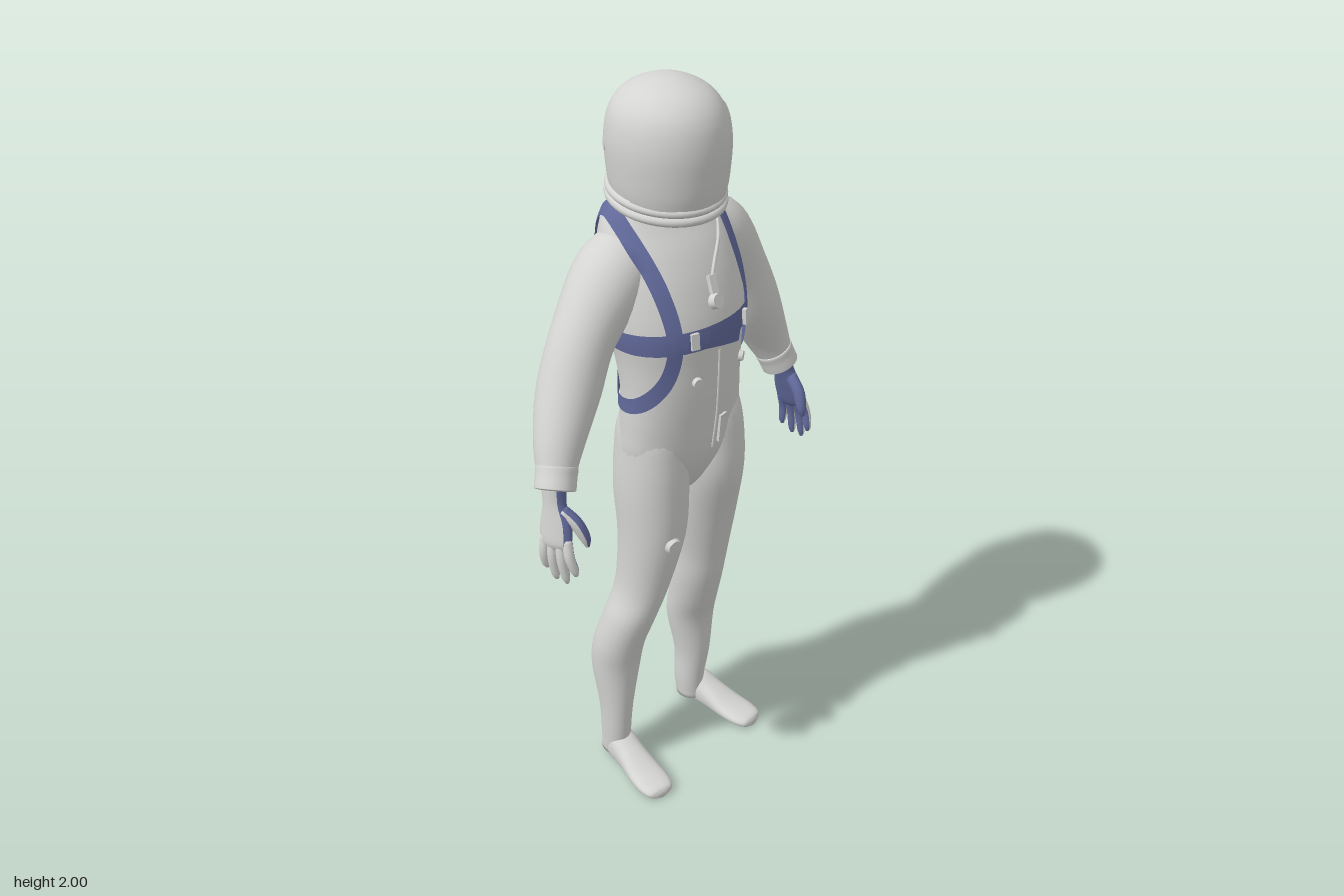
import * as THREE from 'three';

const V = (x, y, z) => new THREE.Vector3(x, y, z);
const UP = V(0, 1, 0);

// Smooth skin through sections [x, y, z, radiusU, radiusV]; split(angle) picks the second material.
function loft(sections, { t = null, ref = V(1, 0, 0), n = 28, p = 1, steps = 5, split = null } = {}) {
  const centre = new THREE.CatmullRomCurve3(sections.map(s => V(s[0], s[1], s[2])), false, 'catmullrom');
  const radii = new THREE.CatmullRomCurve3(sections.map(s => V(s[3], s[4] ?? s[3], 0)), false, 'catmullrom');
  const rows = (sections.length - 1) * steps;
  const pos = [], faces = [[], []];
  const pow = v => Math.sign(v) * Math.abs(v) ** p;
  for (let i = 0; i <= rows; i++) {
    const c = centre.getPoint(i / rows), r = radii.getPoint(i / rows);
    const tan = t || centre.getTangent(i / rows);
    const u = ref.clone().addScaledVector(tan, -ref.dot(tan)).normalize();
    const v = tan.clone().cross(u);
    for (let j = 0; j < n; j++) {
      const a = j / n * Math.PI * 2;
      const q = c.clone().addScaledVector(u, r.x * pow(Math.cos(a))).addScaledVector(v, r.y * pow(Math.sin(a)));
      pos.push(q.x, q.y, q.z);
    }
  }
  const first = sections[0], last = sections[sections.length - 1], base = (rows + 1) * n;
  pos.push(...first.slice(0, 3), ...last.slice(0, 3));
  for (let j = 0; j < n; j++) {
    const k = (j + 1) % n, f = faces[split && split((j + 0.5) / n * Math.PI * 2) ? 1 : 0];
    for (let i = 0; i < rows; i++) {
      const a = i * n + j, b = i * n + k;
      f.push(a, b, a + n, b, b + n, a + n);
    }
    f.push(base, k, j, base + 1, rows * n + j, rows * n + k);
  }
  const g = new THREE.BufferGeometry();
  g.setAttribute('position', new THREE.Float32BufferAttribute(pos, 3));
  g.setIndex([...faces[0], ...faces[1]]);
  if (split) {
    g.addGroup(0, faces[0].length, 0);
    g.addGroup(faces[0].length, faces[1].length, 1);
  }
  g.computeVertexNormals();
  return g;
}

export function createModel() {
  const root = new THREE.Group();
  root.name = 'spacesuitFigure';
  const suit = new THREE.MeshStandardMaterial({ color: 0xd4d4d2, side: THREE.DoubleSide });
  suit.name = 'suitGrey';
  const blue = new THREE.MeshStandardMaterial({ color: 0x626a9b, side: THREE.DoubleSide });
  blue.name = 'harnessBlue';
  const add = (name, geo, mat = suit, parent = root) => {
    const m = new THREE.Mesh(geo, mat);
    m.name = name;
    parent.add(m);
    return m;
  };

  // Torso, turned slightly towards its left
  const yaw = 0.27;
  const torso = add('torso', loft([
    [0, 0.9, 0, 0.03, 0.04], [0, 0.95, -0.005, 0.12, 0.078], [0, 1.03, -0.005, 0.182, 0.112],
    [-0.005, 1.12, 0.005, 0.181, 0.117], [-0.007, 1.22, 0.012, 0.176, 0.12], [-0.008, 1.31, 0.005, 0.182, 0.13],
    [-0.01, 1.4, -0.01, 0.196, 0.145], [-0.01, 1.5, -0.04, 0.2, 0.145], [-0.01, 1.58, -0.065, 0.19, 0.13],
    [-0.01, 1.64, -0.085, 0.175, 0.105], [-0.012, 1.68, -0.09, 0.148, 0.085], [-0.012, 1.71, -0.08, 0.1, 0.07],
    [-0.012, 1.73, -0.07, 0.05, 0.04],
  ], { t: UP, ref: V(Math.cos(yaw), 0, -Math.sin(yaw)), n: 40, p: 0.95 }));
  add('neck', new THREE.CylinderGeometry(0.11, 0.12, 0.08, 32)).position.set(-0.013, 1.7, -0.055);

  // Legs
  const rightLeg = add('rightLeg', loft([
    [-0.19, 0.03, -0.04, 0.04, 0.045], [-0.192, 0.1, -0.035, 0.04, 0.048], [-0.19, 0.2, -0.035, 0.046, 0.055],
    [-0.183, 0.33, -0.045, 0.066, 0.072], [-0.178, 0.42, -0.03, 0.07, 0.075], [-0.155, 0.52, -0.005, 0.071, 0.077],
    [-0.122, 0.62, 0.005, 0.071, 0.083], [-0.098, 0.78, 0.015, 0.088, 0.1], [-0.095, 0.92, 0.01, 0.096, 0.112],
    [-0.095, 1.03, 0.012, 0.092, 0.11], [-0.095, 1.12, 0.015, 0.082, 0.098], [-0.09, 1.2, 0.015, 0.05, 0.06],
  ], { t: UP }));
  add('leftLeg', loft([
    [0.12, 0.03, -0.145, 0.04, 0.045], [0.115, 0.1, -0.145, 0.042, 0.05], [0.122, 0.2, -0.142, 0.051, 0.055],
    [0.118, 0.33, -0.145, 0.069, 0.066], [0.113, 0.42, -0.12, 0.07, 0.072], [0.11, 0.52, -0.092, 0.071, 0.077],
    [0.11, 0.62, -0.075, 0.075, 0.083], [0.103, 0.78, -0.055, 0.091, 0.105], [0.096, 0.92, -0.028, 0.095, 0.117],
    [0.093, 1.03, -0.018, 0.091, 0.112], [0.088, 1.12, -0.01, 0.08, 0.098], [0.085, 1.2, -0.005, 0.05, 0.06],
  ], { t: UP }));

  // Feet: [distance from heel, half width, height]
  const footShape = [[0, 0.018, 0.04], [0.025, 0.037, 0.08], [0.07, 0.042, 0.1], [0.12, 0.043, 0.078],
    [0.18, 0.049, 0.05], [0.23, 0.049, 0.036], [0.262, 0.038, 0.028], [0.272, 0.015, 0.016]];
  for (const [name, x, z, turn] of [['rightFoot', -0.192, -0.082, 0.09], ['leftFoot', 0.118, -0.195, 0.38]]) {
    const foot = add(name, loft(footShape.map(([s, w, h]) => [0, h / 2, s, w, h / 2]), { t: V(0, 0, 1), p: 0.85 }));
    foot.position.set(x, 0, z);
    foot.rotation.y = turn;
  }

  // Arms and cuffs
  const arms = [
    ['rightArm', [[-0.1, 1.565, -0.06, 0.085], [-0.182, 1.522, -0.025, 0.098], [-0.28, 1.41, 0.015, 0.082],
      [-0.34, 1.29, 0.045, 0.08], [-0.393, 1.185, 0.09, 0.064], [-0.43, 1.09, 0.135, 0.042]]],
    ['leftArm', [[0.1, 1.57, -0.1, 0.085], [0.172, 1.522, -0.125, 0.098], [0.25, 1.41, -0.142, 0.082],
      [0.305, 1.29, -0.155, 0.08], [0.368, 1.165, -0.168, 0.062], [0.41, 1.07, -0.158, 0.042]]],
  ].map(([name, path]) => {
    const arm = add(name, loft(path, { ref: V(0, 0, 1) }));
    const a = V(...path[4]), b = V(...path[5]);
    const ring = (f, r) => [...a.clone().lerp(b, f).toArray(), r];
    add(name + 'Cuff', loft([ring(0.52, 0.046), ring(0.55, 0.053), ring(0.75, 0.052), ring(1, 0.052), ring(1.06, 0.05), ring(1.08, 0.036)],
      { ref: V(0, 0, 1) }));
    return arm;
  });

  // Hands with blue palms and thumb edges; s is the outward direction in x
  function hand(name, s, position, rx, ry, rz) {
    const g = new THREE.Group();
    g.name = name;
    const skin = [suit, blue];
    const inner = a => s * Math.cos(a) < -0.15;
    const edge = { n: 16, split: a => inner(a) || Math.sin(a) > 0.7 };
    add('palm', loft([[0, 0.04, 0, 0.03, 0.034], [0, -0.01, 0, 0.025, 0.032], [0, -0.06, 0.002, 0.022, 0.045],
      [0, -0.11, 0, 0.019, 0.046], [0, -0.13, 0, 0.01, 0.035]], edge), skin, g);
    [[0.034, 0.075], [0.012, 0.1], [-0.012, 0.095], [-0.034, 0.07]].forEach(([z, l], i) => {
      const spread = z * 1.3;
      add('finger' + i, loft([[0, -0.1, z, 0.013], [0, -0.12 - l * 0.35, (z + spread) / 2, 0.013],
        [-s * 0.012, -0.12 - l * 0.85, spread, 0.011], [-s * 0.018, -0.125 - l, spread, 0.005]],
      { n: 10, split: inner }), skin, g);
    });
    add('thumb', loft([[0, -0.025, 0.02, 0.017], [-s * 0.018, -0.06, 0.05, 0.017], [-s * 0.035, -0.1, 0.062, 0.014],
      [-s * 0.042, -0.125, 0.064, 0.006]], edge), skin, g);
    g.position.set(...position);
    g.rotation.set(rx, ry, rz, 'ZXY');
    root.add(g);
  }
  hand('rightHand', -1, [-0.436, 1.06, 0.14], -0.18, 0.45, -0.09);
  hand('leftHand', 1, [0.42, 1.05, -0.153], -0.06, 0.35, 0.27);

  // Helmet shell, raised visor, hinge caps and neck ring
  const helmet = new THREE.Group();
  helmet.name = 'helmet';
  const profile = [[0.9, -0.125], [0.95, -0.09], [0.985, -0.04], [1, 0.005], [0.98, 0.045], [0.925, 0.08], [0.82, 0.109],
    [0.66, 0.133], [0.44, 0.151], [0.2, 0.162], [0, 0.164]];
  const curve = new THREE.SplineCurve(profile.map(q => new THREE.Vector2(...q)));
  const shell = curve.getPoints(40).map(q => new THREE.Vector2(Math.max(q.x, 0) * 0.155, q.y));
  add('helmetShell', new THREE.LatheGeometry(shell, 48), suit, helmet).scale.set(0.955, 1, 1.035);
  const pane = shell.slice(1, 22).map(q => new THREE.Vector2(q.x + 0.003, q.y));
  add('visor', new THREE.LatheGeometry(pane, 32, -1.3, 2.6), suit, helmet).scale.set(0.955, 1, 1.035);
  for (const s of [-1, 1]) {
    const cap = add('visorHinge', new THREE.CylinderGeometry(0.016, 0.016, 0.008, 16), suit, helmet);
    cap.position.set(s * 0.127, 0, -0.075);
    cap.rotation.set(0, s * 0.45, Math.PI / 2);
  }
  [[-0.113, 0.136, 0.011], [-0.134, 0.136, 0.012]].forEach(([y, r, w]) => {
    const ring = add('neckRing', new THREE.TorusGeometry(r, w, 12, 48), suit, helmet);
    ring.rotation.x = Math.PI / 2 + 0.12;
    ring.position.set(0, y, -0.006);
    ring.scale.y = 1.06;
  });
  helmet.position.set(-0.016, 1.834, -0.035);
  helmet.rotation.y = 0.08;
  root.add(helmet);

  // Harness ribbons laid onto the suit surface
  root.updateMatrixWorld(true);
  const ray = new THREE.Raycaster();
  const axisAt = q => V(-0.01, Math.min(q.y, 1.45), -0.04);
  function wrap(q, lift) {
    const axis = axisAt(q), dir = q.clone().sub(axis).normalize();
    ray.set(axis.addScaledVector(dir, 1), dir.clone().negate());
    const hit = ray.intersectObjects(q.y > 1.53 ? [torso, ...arms] : [torso], false)[0];
    return (hit ? hit.point : q.clone()).addScaledVector(dir, lift);
  }
  function strap(name, guide, width, lift, closed) {
    const path = new THREE.CatmullRomCurve3(guide.map(q => V(...q)), closed);
    const pos = [], idx = [], n = 90, m = 4;
    for (let i = 0; i <= n; i++) {
      const c = path.getPointAt(i / n);
      const out = c.clone().sub(axisAt(c)).normalize();
      const side = path.getTangentAt(i / n).cross(out).normalize();
      for (let j = 0; j <= m; j++) {
        pos.push(...wrap(c.clone().addScaledVector(side, width * (j / m - 0.5)), lift).toArray());
        if (i < n && j < m) {
          const a = i * (m + 1) + j, b = a + m + 1;
          idx.push(a, a + 1, b, a + 1, b + 1, b);
        }
      }
    }
    const g = new THREE.BufferGeometry();
    g.setAttribute('position', new THREE.Float32BufferAttribute(pos, 3));
    g.setIndex(idx);
    g.computeVertexNormals();
    add(name, g, blue);
  }
  const around = Array.from({ length: 16 }, (_, i) => i / 16 * Math.PI * 2);
  strap('chestBelt', around.map(a => [-0.01 + 0.2 * Math.cos(a), 1.388, -0.02 + 0.16 * Math.sin(a)]), 0.055, 0.006, true);
  strap('beltTail', [[-0.08, 1.395, 0.14], [0.02, 1.382, 0.15], [0.11, 1.362, 0.12]], 0.045, 0.013, false);
  strap('rightStrap', [[-0.19, 1.21, -0.03], [-0.16, 1.21, 0.06], [-0.115, 1.29, 0.13], [-0.098, 1.39, 0.145],
    [-0.115, 1.52, 0.1], [-0.15, 1.64, 0], [-0.155, 1.67, -0.08], [-0.165, 1.6, -0.14], [-0.165, 1.4, -0.125],
    [-0.185, 1.28, -0.085]], 0.04, 0.008, true);
  strap('leftStrap', [[0.168, 1.4, 0.05], [0.14, 1.55, 0.02], [0.112, 1.66, -0.09], [0.085, 1.61, -0.2], [0.085, 1.4, -0.19],
    [0.14, 1.27, -0.15], [0.185, 1.23, -0.08], [0.185, 1.25, -0.02], [0.18, 1.32, 0.03]], 0.04, 0.008, true);

  // Small fittings set on the front of the suit
  function front(x, y, target = torso) {
    ray.set(V(x, y, 1), V(0, 0, -1));
    return ray.intersectObject(target, false)[0];
  }
  function fit(name, geo, x, y, lift, target) {
    const hit = front(x, y, target);
    const m = add(name, geo);
    m.quaternion.setFromUnitVectors(V(0, 0, 1), hit.face.normal);
    m.position.copy(hit.point).addScaledVector(hit.face.normal, lift);
  }
  const disc = (r, h) => new THREE.CylinderGeometry(r * 0.85, r, h, 20).rotateX(Math.PI / 2);
  fit('rightValve', disc(0.015, 0.014), -0.035, 1.27, 0.004);
  fit('leftValve', disc(0.015, 0.014), 0.13, 1.27, 0.004);
  fit('thighGauge', disc(0.024, 0.014), -0.09, 0.785, 0.004, rightLeg);
  fit('chestPendant', disc(0.021, 0.018), 0.03, 1.465, 0.006);
  fit('pendantClip', new THREE.BoxGeometry(0.02, 0.045, 0.014), 0.028, 1.505, 0.005);
  fit('waistTab', new THREE.BoxGeometry(0.025, 0.08, 0.008), 0.058, 1.1, 0.002);
  fit('rightBuckle', new THREE.BoxGeometry(0.022, 0.042, 0.01), -0.05, 1.392, 0.014);
  fit('leftBuckle', new THREE.BoxGeometry(0.016, 0.04, 0.01), 0.125, 1.388, 0.012);
  const cord = (name, pts, r) => add(name, new THREE.TubeGeometry(new THREE.CatmullRomCurve3(
    pts.map(([x, y]) => front(x, y).point.clone().add(V(0, 0, 0.002)))), 32, r, 6));
  cord('chestCord', [[0.03, 1.51], [0.055, 1.55], [0.09, 1.59], [0.11, 1.62]], 0.005);
  cord('frontZip', [[0.035, 1.34], [0.035, 1.25], [0.035, 1.15], [0.03, 1.05]], 0.003);
  return root;
}
